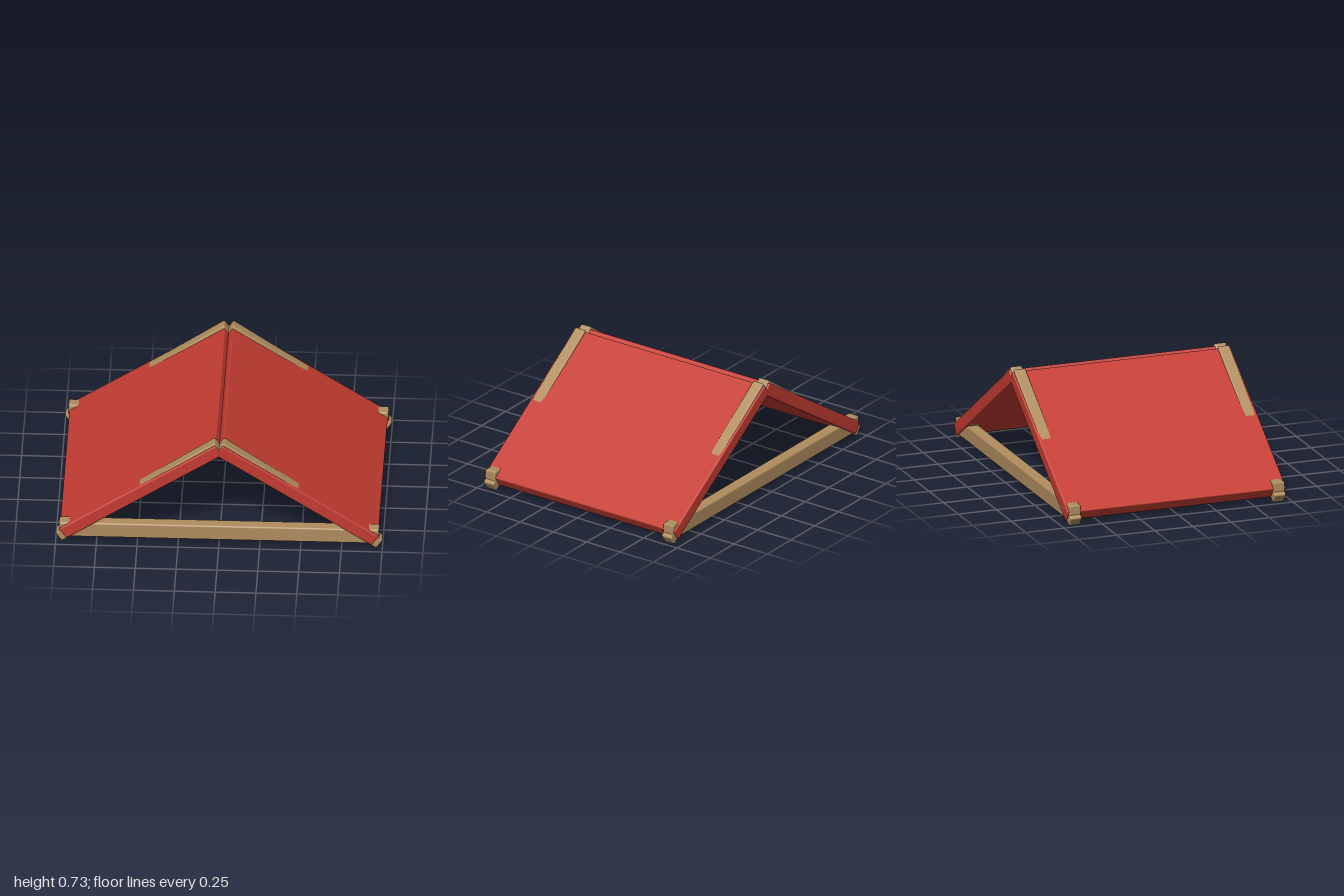
import * as THREE from 'three';
import { RoundedBoxGeometry } from 'three/addons/geometries/RoundedBoxGeometry.js';

const red = new THREE.MeshStandardMaterial({ color: 0xc43c32 });
const wood = new THREE.MeshStandardMaterial({ color: 0xb08d5e });

// Softly bevelled board, centred on its own origin
function board(name, length, thickness, depth, material, bevel = 0.01) {
  const mesh = new THREE.Mesh(new RoundedBoxGeometry(length, thickness, depth, 2, bevel), material);
  mesh.name = name;
  return mesh;
}

// Sloping board whose upper face runs from the ridge point to the eave point
function slopedBoard(name, ridge, eave, thickness, depth, z, side, material) {
  const dx = eave[0] - ridge[0];
  const dy = eave[1] - ridge[1];
  const length = Math.hypot(dx, dy);
  const mesh = board(name, length, thickness, depth, material);
  mesh.position.set(
    side * ((ridge[0] + eave[0]) / 2 + (dy / length) * thickness / 2),
    (ridge[1] + eave[1]) / 2 - (dx / length) * thickness / 2,
    z
  );
  mesh.rotation.z = side * Math.atan2(dy, dx);
  return mesh;
}

export function createModel() {
  const roof = new THREE.Group();
  roof.name = 'gableRoof';

  for (const side of [1, -1]) {
    const label = side > 0 ? 'left' : 'right';
    // Roof slope
    roof.add(slopedBoard(label + 'RoofPanel', [0.023, 0.72], [0.978, 0.095], 0.08, 1.434, 0, side, red));
    // Rafters, slightly steeper so they emerge near the ridge and under the eaves
    for (const end of [1, -1]) {
      const place = end > 0 ? 'Front' : 'Back';
      roof.add(slopedBoard(label + place + 'Rafter', [0.028, 0.735], [1.003, 0.058], 0.07, 0.076, end * 0.668, side, wood));
    }
  }

  // Horizontal tie beams at both gables
  for (const end of [1, -1]) {
    const beam = board(end > 0 ? 'frontTieBeam' : 'backTieBeam', 1.96, 0.1, 0.076, wood);
    beam.position.set(0, 0.085, end * 0.668);
    roof.add(beam);
  }
  return roof;
}
